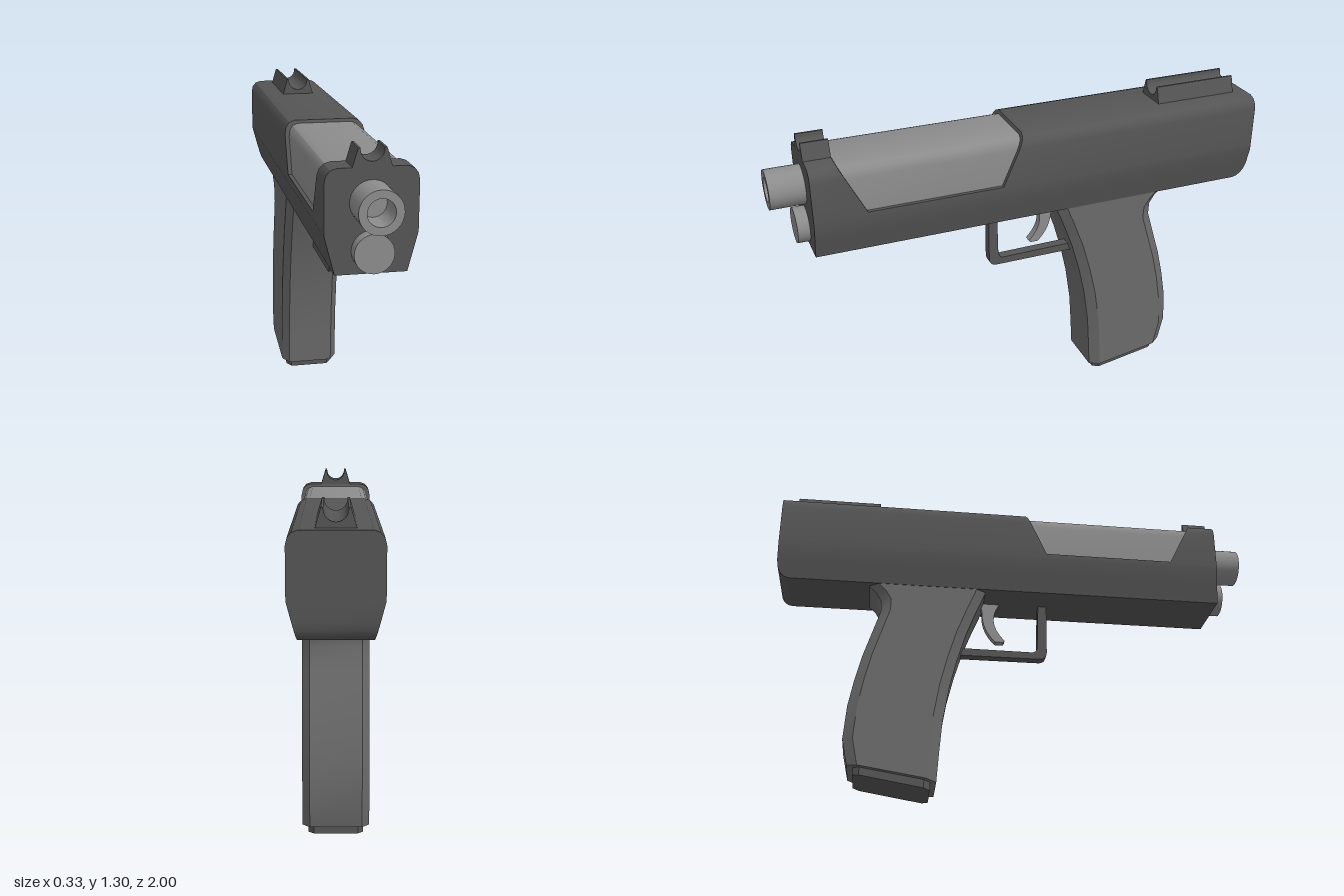
import * as THREE from 'three';
import { toCreasedNormals } from 'three/addons/utils/BufferGeometryUtils.js';

// Joins loops (counter-clockwise from above, ordered bottom to top) into a closed solid
function loft(loops, crease = 0.5) {
  const pos = [];
  const tri = (...points) => points.forEach((p) => pos.push(...p));
  const n = loops[0].length;
  for (let k = 0; k < loops.length - 1; k++) {
    const lo = loops[k], hi = loops[k + 1];
    for (let i = 0; i < n; i++) {
      const j = (i + 1) % n;
      tri(lo[i], lo[j], hi[j]);
      tri(lo[i], hi[j], hi[i]);
    }
  }
  const bottom = loops[0], top = loops[loops.length - 1];
  for (let i = 1; i < n - 1; i++) {
    tri(bottom[0], bottom[i + 1], bottom[i]);
    tri(top[0], top[i], top[i + 1]);
  }
  const g = new THREE.BufferGeometry();
  g.setAttribute('position', new THREE.Float32BufferAttribute(pos, 3));
  return toCreasedNormals(g, crease);
}

// Rows of [y, half width], with front and back z given as functions of y
function block(rows, front, back) {
  return loft(rows.map(([y, w]) => [
    [w, y, front(y)], [w, y, back(y)], [-w, y, back(y)], [-w, y, front(y)],
  ]));
}

// Eight-sided loop between a front and a back point, given as [z, y]
function bevelLoop([fz, fy], [bz, by], w, bx, bevelZ) {
  const at = (x, z) => [x, fy + (by - fy) * (z - fz) / (bz - fz), z];
  const right = [at(w - bx, fz), at(w, fz - bevelZ), at(w, bz + bevelZ), at(w - bx, bz)];
  return [...right, ...right.map(([x, y, z]) => [-x, y, z]).reverse()];
}

// Side outline in (z, y), extruded across x from x0 to x1
function sidePlate(shape, x0, x1) {
  const g = new THREE.ExtrudeGeometry(shape, { depth: x1 - x0, bevelEnabled: false, curveSegments: 8 });
  g.rotateY(-Math.PI / 2).translate(x1, 0, 0);
  return toCreasedNormals(g, 0.5);
}

export function createModel() {
  const model = new THREE.Group();
  const dark = new THREE.MeshStandardMaterial({ color: 0x555555 });
  const mid = new THREE.MeshStandardMaterial({ color: 0x6a6a6a });
  const light = new THREE.MeshStandardMaterial({ color: 0x8c8c8c });
  const add = (name, geometry, material) => {
    const mesh = new THREE.Mesh(geometry, material);
    mesh.name = name;
    model.add(mesh);
    return mesh;
  };

  // Main body: tapered lower half with a rounded rear bottom edge
  const rear = (y) => {
    const d = Math.max(0, 0.94 - y) / 0.07;
    return -1 + 0.05 * (1 - Math.sqrt(Math.max(0, 1 - d * d)));
  };
  add('lowerBody', block(
    [[0.87, 0.127], [0.875, 0.128], [0.89, 0.132], [0.91, 0.137], [0.94, 0.145], [1.01, 0.163], [1.04, 0.163]],
    () => 0.865, rear), dark);

  // Upper body, split by a window with sloping ends
  const upperRows = [[1.04, 0.163], [1.19, 0.163], [1.215, 0.157], [1.232, 0.143], [1.24, 0.12]];
  add('rearUpperBody', block(upperRows, (y) => 0.12 - (y - 1.04) * 0.45, () => -1), dark);
  add('frontUpperBody', block(upperRows, () => 0.865, (y) => 0.66 + (y - 1.04) * 0.5), dark);

  // Inset cover showing in the window
  add('insetCover', block(
    [[1.03, 0.147], [1.18, 0.147], [1.205, 0.142], [1.22, 0.13], [1.228, 0.11]],
    () => 0.8, () => 0), light);

  // Notched sights
  const notch = new THREE.Shape();
  notch.moveTo(-0.07, 1.235);
  notch.lineTo(0.07, 1.235);
  notch.lineTo(0.049, 1.305);
  notch.lineTo(0.041, 1.305);
  notch.absarc(0, 1.3, 0.041, 0, -Math.PI, true);
  notch.lineTo(-0.041, 1.305);
  notch.lineTo(-0.049, 1.305);
  for (const [name, z0, z1] of [['frontSight', 0.76, 0.865], ['rearSight', -0.945, -0.595]]) {
    const g = new THREE.ExtrudeGeometry(notch, { depth: z1 - z0, bevelEnabled: false, curveSegments: 16 });
    add(name, toCreasedNormals(g.translate(0, 0, z0), 0.5), dark);
  }

  // Hollow barrel end and the solid rod below it
  const profile = [[0.077, 0.8], [0.077, 1], [0.048, 1], [0.048, 0.88], [0, 0.88]]
    .map(([r, z]) => new THREE.Vector2(r, z));
  const barrel = new THREE.LatheGeometry(profile, 32).rotateX(Math.PI / 2).translate(0, 1.12, 0);
  add('barrel', toCreasedNormals(barrel, 0.5), light).material.side = THREE.DoubleSide;
  add('guideRod', new THREE.CylinderGeometry(0.07, 0.07, 0.11, 32)
    .rotateX(Math.PI / 2).translate(0, 0.953, 0.857), light);

  // Curved grip: [front z, y], [back z, y]
  const gripRows = [
    [[-0.315, 0.03], [-0.662, 0.085]],
    [[-0.307, 0.16], [-0.685, 0.19]],
    [[-0.298, 0.28], [-0.675, 0.33]],
    [[-0.275, 0.43], [-0.655, 0.44]],
    [[-0.247, 0.55], [-0.629, 0.55]],
    [[-0.212, 0.67], [-0.592, 0.67]],
    [[-0.18, 0.755], [-0.566, 0.755]],
    [[-0.16, 0.805], [-0.568, 0.805]],
    [[-0.145, 0.84], [-0.59, 0.84]],
    [[-0.13, 0.88], [-0.63, 0.88]],
  ];
  add('grip', loft(gripRows.map(([f, b]) => bevelLoop(f, b, 0.125, 0.028, 0.04)), 0.6), mid);
  add('gripBasePlate', loft([
    bevelLoop([-0.338, 0], [-0.638, 0.05], 0.103, 0.02, 0.025),
    bevelLoop([-0.338, 0.06], [-0.638, 0.11], 0.103, 0.02, 0.025),
  ]), dark);

  // Trigger guard
  const guard = new THREE.Shape();
  guard.moveTo(0.14, 0.89);
  guard.lineTo(0.14, 0.655);
  guard.quadraticCurveTo(0.14, 0.62, 0.105, 0.62);
  guard.lineTo(-0.25, 0.62);
  guard.lineTo(-0.25, 0.653);
  guard.lineTo(0.08, 0.65);
  guard.quadraticCurveTo(0.1, 0.655, 0.1, 0.69);
  guard.lineTo(0.104, 0.89);
  add('triggerGuard', sidePlate(guard, 0, 0.042), dark);

  // Trigger
  const trigger = new THREE.Shape();
  trigger.moveTo(-0.05, 0.89);
  trigger.quadraticCurveTo(-0.13, 0.79, -0.04, 0.7);
  trigger.lineTo(-0.045, 0.692);
  trigger.lineTo(-0.08, 0.692);
  trigger.quadraticCurveTo(-0.14, 0.75, -0.138, 0.83);
  trigger.lineTo(-0.15, 0.89);
  add('trigger', sidePlate(trigger, 0.005, 0.037), light);

  return model;
}
